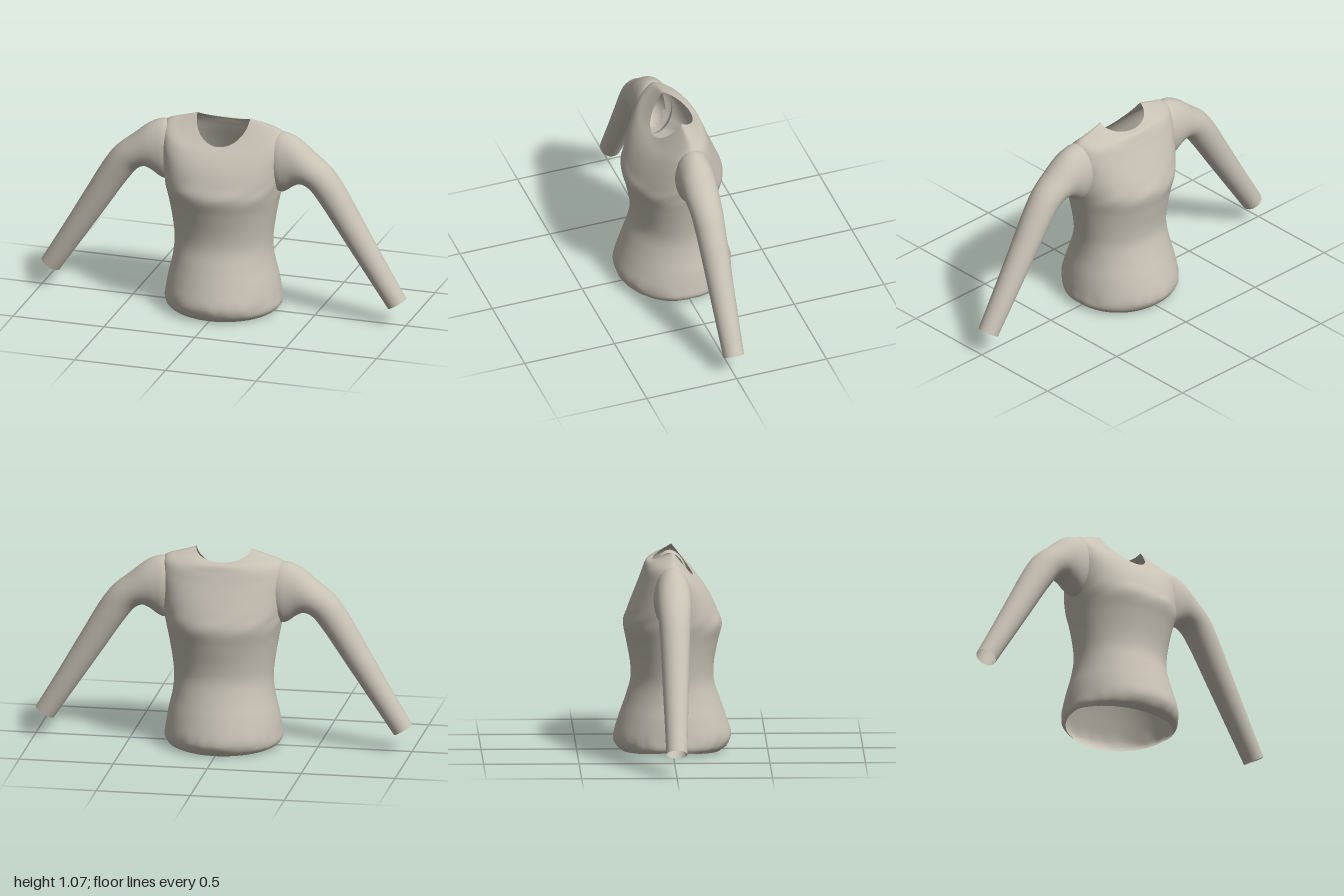
import * as THREE from 'three';

const fabric = new THREE.MeshStandardMaterial({ color: 0xc8c2b5, side: THREE.DoubleSide });
fabric.name = 'beige fabric';

// Skin a grid of points whose columns close into a ring; skip(centre) leaves holes.
function loft(rows, cols, pointAt, skip = () => false) {
  const points = [];
  for (let i = 0; i <= rows; i++) {
    for (let j = 0; j < cols; j++) points.push(pointAt(i / rows, j / cols));
  }
  const index = [];
  for (let i = 0; i < rows; i++) {
    for (let j = 0; j < cols; j++) {
      const a = i * cols + j, b = i * cols + (j + 1) % cols;
      const c = a + cols, d = b + cols;
      if (skip(points[a].clone().add(points[d]).multiplyScalar(0.5))) continue;
      index.push(a, c, b, b, c, d);
    }
  }
  const geometry = new THREE.BufferGeometry().setFromPoints(points);
  geometry.setIndex(index);
  geometry.computeVertexNormals();
  return geometry;
}

// Torso rings from hem to neckline: side x, side y, front y, front z, back y, back z, squareness
const RINGS = [
  [0.300, 0.025, 0.000, 0.255, 0.000, 0.265, 2],
  [0.310, 0.045, 0.030, 0.292, 0.025, 0.292, 2],
  [0.306, 0.090, 0.080, 0.310, 0.065, 0.309, 2],
  [0.292, 0.180, 0.170, 0.285, 0.180, 0.280, 2],
  [0.270, 0.280, 0.270, 0.250, 0.280, 0.245, 2],
  [0.262, 0.370, 0.370, 0.219, 0.380, 0.218, 2],
  [0.270, 0.460, 0.460, 0.219, 0.460, 0.220, 2],
  [0.290, 0.580, 0.580, 0.241, 0.580, 0.241, 2],
  [0.308, 0.675, 0.675, 0.261, 0.675, 0.257, 2.1],
  [0.320, 0.760, 0.740, 0.237, 0.750, 0.234, 2.2],
  [0.325, 0.850, 0.800, 0.210, 0.830, 0.202, 2.3],
  [0.330, 0.940, 0.850, 0.180, 0.910, 0.170, 2.3],
  [0.310, 1.010, 0.885, 0.152, 0.965, 0.150, 2.3],
  [0.230, 1.040, 0.907, 0.130, 1.000, 0.135, 2.1],
  [0.145, 1.065, 0.925, 0.110, 1.010, 0.102, 2],
];

function ringPoint([sx, sy, fy, fz, by, bz, n], angle) {
  const c = Math.cos(angle), s = Math.sin(angle);
  const round = (v) => Math.sign(v) * Math.abs(v) ** (2 / n);
  const y = THREE.MathUtils.lerp(sy, s > 0 ? fy : by, Math.abs(s));
  return new THREE.Vector3(sx * round(c), y, (s > 0 ? fz : bz) * round(s));
}

function torsoGeometry() {
  const cols = 80;
  const columns = Array.from({ length: cols }, (_, j) => new THREE.CatmullRomCurve3(
    RINGS.map((r) => ringPoint(r, (j / cols) * Math.PI * 2))));
  const pointAt = (v, u) => {
    const p = columns[Math.round(u * cols)].getPoint(v);
    // Soft gathers above the hem and faint folds under the bust
    const a = u * Math.PI * 2;
    const hem = Math.exp(-(((p.y - 0.06) / 0.035) ** 2)) * Math.sin(a * 17 + Math.sin(a * 5) * 2);
    const bust = Math.exp(-(((p.y - 0.7) / 0.05) ** 2)) * Math.sin(a * 9 + p.y * 40);
    const k = 1 + 0.008 * hem + 0.006 * bust;
    return new THREE.Vector3(p.x * k, p.y, p.z * k);
  };
  // Armholes stay open inside the sleeves
  const armhole = (p) => Math.abs(p.x) > 0.27
    && ((p.y - 0.84) / 0.13) ** 2 + (p.z / 0.07) ** 2 < 1;
  return loft(70, cols, pointAt, armhole);
}

// Sleeve stations: top x, top y, bottom x, bottom y, half depth
const SLEEVE = [
  [0.270, 0.995, 0.270, 0.700, 0.092],
  [0.320, 1.006, 0.315, 0.675, 0.100],
  [0.362, 0.998, 0.345, 0.685, 0.099],
  [0.415, 0.972, 0.385, 0.714, 0.096],
  [0.500, 0.903, 0.427, 0.732, 0.091],
  [0.590, 0.828, 0.470, 0.715, 0.085],
  [0.650, 0.750, 0.525, 0.650, 0.080],
  [0.765, 0.552, 0.652, 0.463, 0.071],
  [0.880, 0.351, 0.778, 0.277, 0.063],
  [1.000, 0.147, 0.905, 0.090, 0.055],
];

function sleeveGeometry(side) {
  const top = new THREE.CatmullRomCurve3(SLEEVE.map(([x, y, , , d]) => new THREE.Vector3(x, y, d)));
  const bottom = new THREE.CatmullRomCurve3(SLEEVE.map(([, , x, y]) => new THREE.Vector3(x, y, 0)));
  return loft(48, 36, (v, u) => {
    const t = top.getPoint(v), b = bottom.getPoint(v);
    const angle = -side * u * Math.PI * 2;
    const k = (1 + Math.cos(angle)) / 2;
    const x = THREE.MathUtils.lerp(b.x, t.x, k);
    const back = -0.007 * Math.max(0, 1 - v * 2);
    return new THREE.Vector3(side * x, THREE.MathUtils.lerp(b.y, t.y, k), t.z * Math.sin(angle) + back);
  });
}

export function createModel() {
  const model = new THREE.Group();
  model.name = 'longSleeveShirt';
  const add = (name, geometry) => {
    const mesh = new THREE.Mesh(geometry, fabric);
    mesh.name = name;
    model.add(mesh);
  };
  add('torso', torsoGeometry());
  add('leftSleeve', sleeveGeometry(1));
  add('rightSleeve', sleeveGeometry(-1));
  return model;
}
